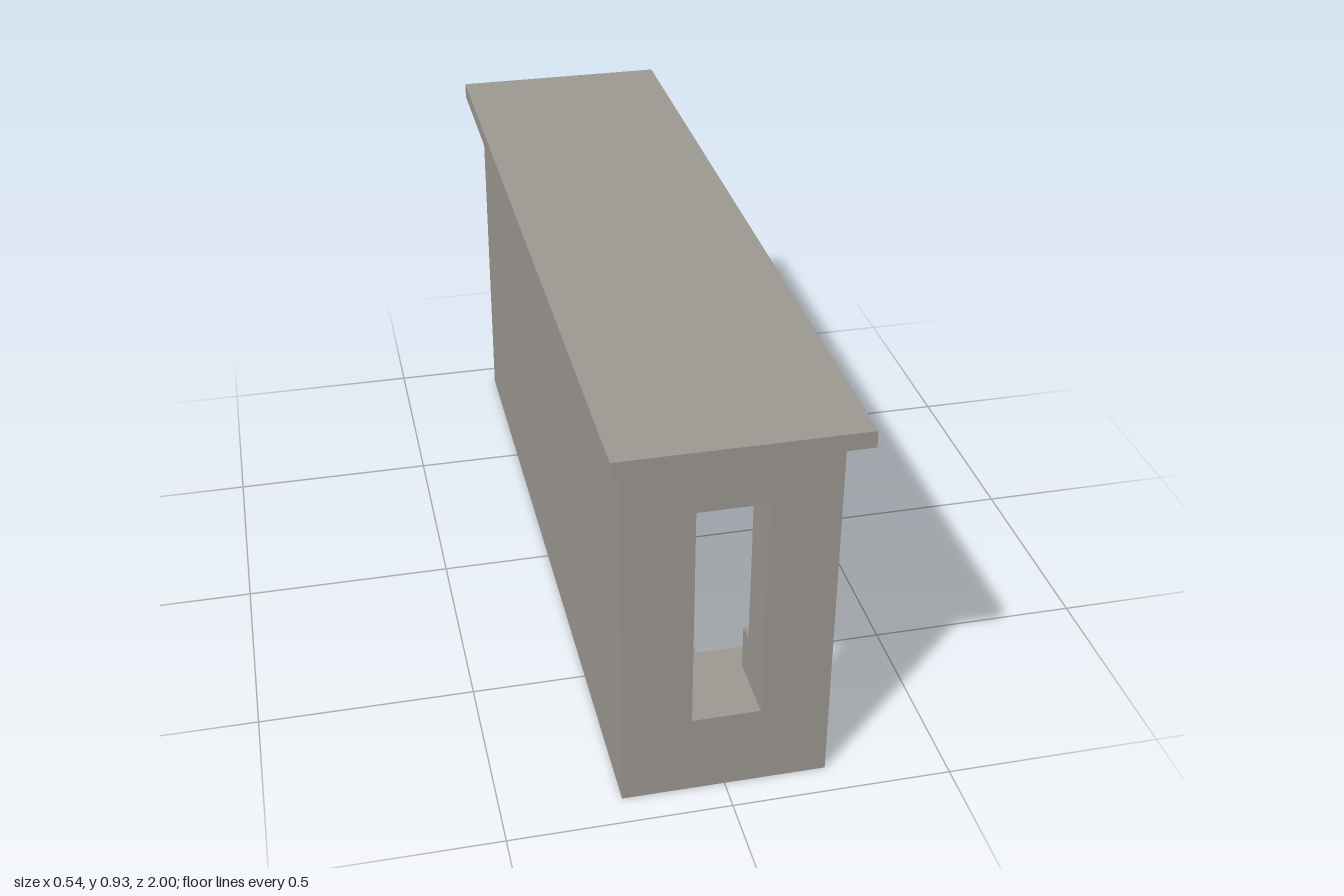
import * as THREE from 'three';

export function createModel() {
  const model = new THREE.Group();
  model.name = 'barCounter';
  const grey = new THREE.MeshStandardMaterial({ name: 'warm grey', color: 0x9c9791 });

  const add = (name, geometry) => {
    const mesh = new THREE.Mesh(geometry, grey);
    mesh.name = name;
    model.add(mesh);
    return mesh;
  };

  // box given by its limits on each axis
  const box = (name, [x0, x1], [y0, y1], [z0, z1]) => {
    const g = new THREE.BoxGeometry(x1 - x0, y1 - y0, z1 - z0);
    g.translate((x0 + x1) / 2, (y0 + y1) / 2, (z0 + z1) / 2);
    return add(name, g);
  };

  const polygon = (points) => new THREE.Shape(points.map(([x, y]) => new THREE.Vector2(x, y)));

  // x-y outline pushed along z from z0 to z1
  const extrudeZ = (shape, z0, z1) => {
    const g = new THREE.ExtrudeGeometry(shape, { depth: z1 - z0, bevelEnabled: false });
    return g.translate(0, 0, z0);
  };

  // z-y outline pushed along x from x0 to x1
  const extrudeX = (shape, x0, x1) => {
    const g = new THREE.ExtrudeGeometry(shape, { depth: x1 - x0, bevelEnabled: false });
    return g.rotateY(-Math.PI / 2).translate(x1, 0, 0);
  };

  const W = 0.232, H = 0.89, D = 0.927;   // body half width, height, half length
  const panelX = -0.155, wallZ = 0.812;   // inner faces of side panel and front wall
  const shelfEnd = -0.65;                 // back end of the steps
  const low = 0.152, high = 0.303;        // heights of the two steps

  // counter top
  box('counterTop', [-0.268, 0.268], [H, 0.928], [-1, 1]);

  // closed long side and back end wall
  box('sidePanel', [-W, panelX], [0, H], [-D, D]);
  box('backWall', [panelX, W], [0, H], [-D, -0.815]);

  // front end wall with a tall opening
  const hole = { x: 0.077, y0: 0.193, y1: 0.736 };
  const wall = polygon([[panelX, 0], [W, 0], [W, H], [panelX, H]]);
  wall.holes.push(new THREE.Path([
    [-hole.x, hole.y0], [-hole.x, hole.y1], [hole.x, hole.y1], [hole.x, hole.y0],
  ].map(([x, y]) => new THREE.Vector2(x, y))));
  add('frontWall', extrudeZ(wall, wallZ, D));

  // upper step: notched by the opening on the front wall, plain along the panel
  const notched = polygon([
    [panelX, low], [W, low], [W, high], [hole.x, high], [hole.x, hole.y0],
    [-hole.x, hole.y0], [-hole.x, high], [panelX, high],
  ]);
  add('frontUpperStep', extrudeZ(notched, 0.77, wallZ));
  box('sideUpperStep', [panelX, -0.116], [low, high], [shelfEnd, wallZ]);

  // lower step with an inward sloping kick face, on both runs
  add('frontLowerStep', extrudeX(
    polygon([[wallZ, 0], [wallZ, low], [0.655, low], [0.692, 0]]), panelX, W));
  add('sideLowerStep', extrudeZ(
    polygon([[panelX, 0], [-0.036, 0], [0.001, low], [panelX, low]]), shelfEnd, wallZ));

  return model;
}
